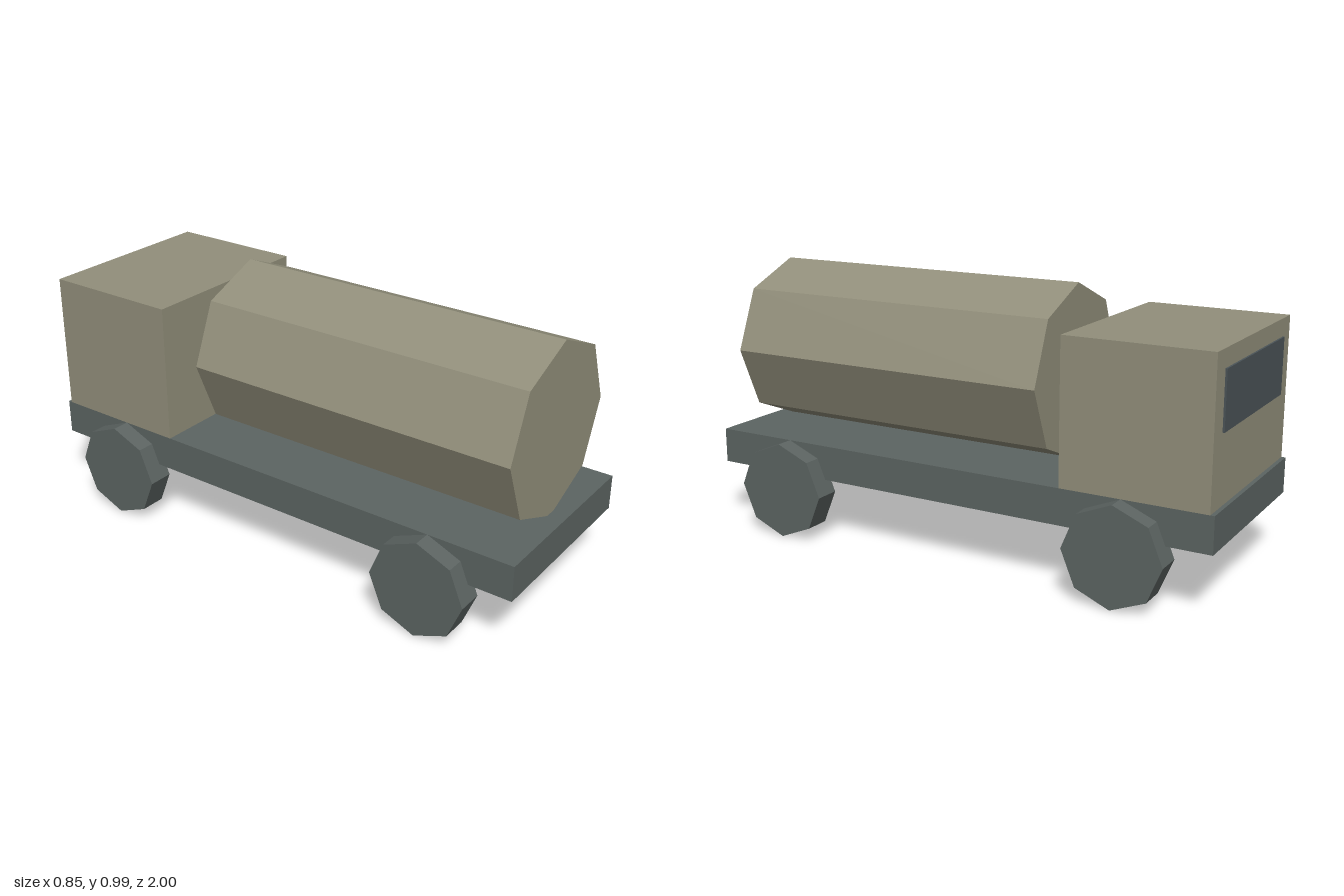
import * as THREE from 'three';

function material(name, color) {
  const m = new THREE.MeshStandardMaterial({ color, flatShading: true });
  m.name = name;
  return m;
}

export function createModel() {
  const truck = new THREE.Group();
  truck.name = 'tankTruck';
  const tan = material('khaki paint', 0x928f7b);
  const grey = material('dark grey green', 0x5c6462);
  const glass = material('dark glass', 0x4b5458);

  const add = (name, geometry, mat, x, y, z) => {
    const mesh = new THREE.Mesh(geometry, mat);
    mesh.name = name;
    mesh.position.set(x, y, z);
    truck.add(mesh);
  };

  // Flat bed running the full length
  add('chassis', new THREE.BoxGeometry(0.72, 0.131, 2), grey, 0, 0.2965, 0);

  // Cab with its windscreen facing -z
  add('cab', new THREE.BoxGeometry(0.72, 0.518, 0.53), tan, 0, 0.621, -0.72);
  add('windscreen', new THREE.BoxGeometry(0.57, 0.205, 0.009), glass, 0, 0.713, -0.9875);

  // Eight-sided tank lying along z
  const tank = new THREE.CylinderGeometry(0.32, 0.32, 1.28, 8).rotateX(Math.PI / 2);
  add('tank', tank, tan, 0, 0.672, 0.3);

  // Four eight-sided wheels
  const wheel = new THREE.CylinderGeometry(0.181, 0.181, 0.097, 8).rotateZ(Math.PI / 2);
  for (const [side, x] of [['left', 0.378], ['right', -0.378]]) {
    add(side + 'FrontWheel', wheel, grey, x, 0.181, 0.68);
    add(side + 'RearWheel', wheel, grey, x, 0.181, -0.68);
  }
  return truck;
}
